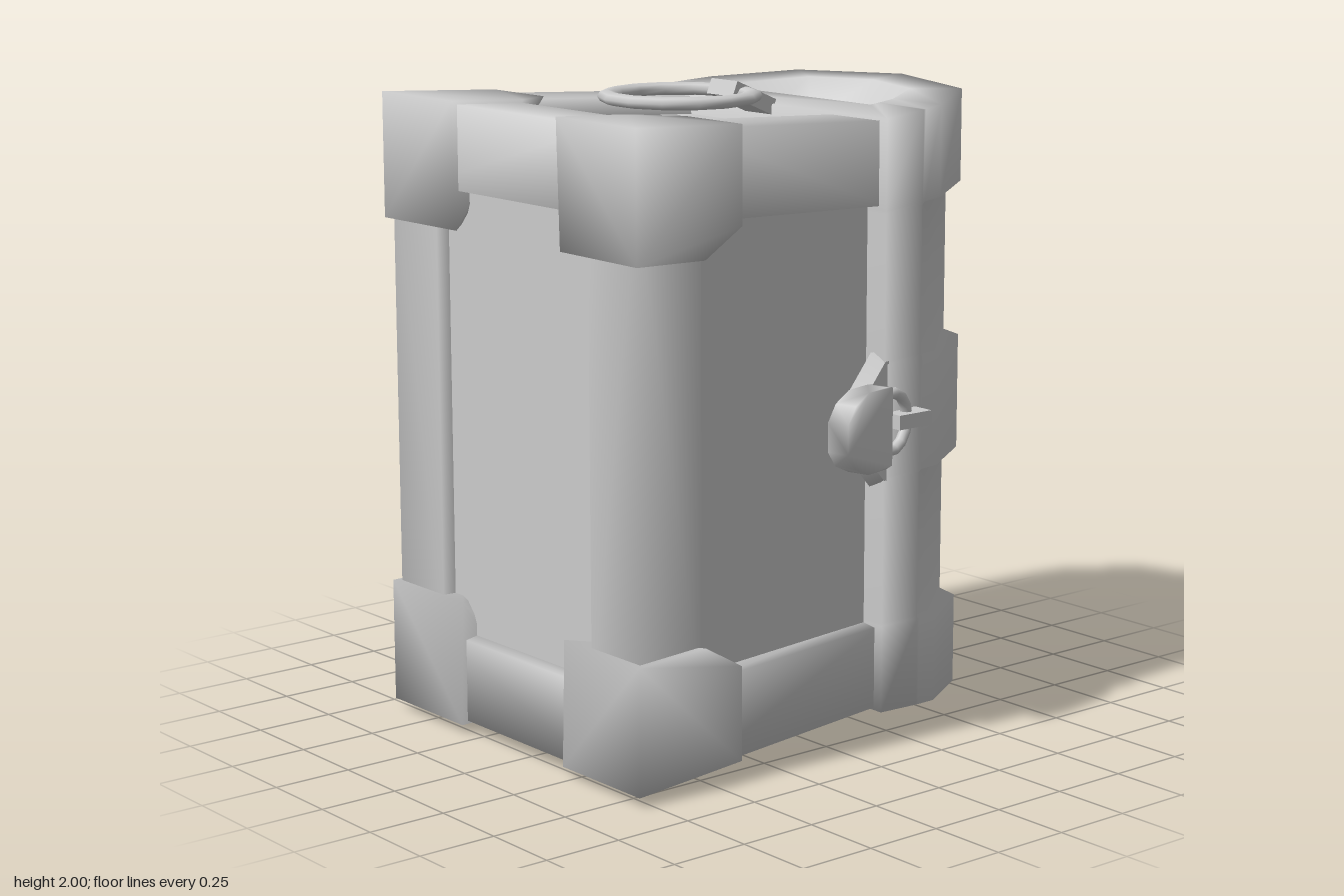
import * as THREE from 'three';
import { mergeVertices } from 'three/addons/utils/BufferGeometryUtils.js';
import { ConvexGeometry } from 'three/addons/geometries/ConvexGeometry.js';

const material = new THREE.MeshStandardMaterial({ color: 0xcccccc });

function add(parent, name, geometry, x = 0, y = 0, z = 0) {
  const mesh = new THREE.Mesh(geometry, material);
  mesh.name = name;
  mesh.position.set(x, y, z);
  parent.add(mesh);
  return mesh;
}

// The chest body narrows from its base (z = 0.79) to the lid (z = -0.19)
function taper(geometry) {
  const p = geometry.attributes.position;
  for (let i = 0; i < p.count; i++) {
    const t = (0.79 - p.getZ(i)) / 0.98;
    p.setX(i, p.getX(i) * (1 - 0.095 * t));
    p.setY(i, p.getY(i) * (1 - 0.05 * t));
  }
  geometry.computeVertexNormals();
  return geometry;
}

// Convex block with soft normals
function block(points) {
  const g = new ConvexGeometry(points.map((p) => new THREE.Vector3(...p)));
  g.deleteAttribute('normal');
  const soft = mergeVertices(g, 1e-4);
  soft.computeVertexNormals();
  return soft;
}

// Bar with a constant cross-section; place(a, b, s) returns a point at end s
function bar(section, from, to, place) {
  return taper(block([from, to].flatMap((s) => section.map(([a, b]) => place(a, b, s)))));
}

// Closed loops of [x, z] joined along y; v is a fraction of the flared half length
function loft(sections) {
  const n = sections[0].loop.length;
  const position = [];
  const index = [];
  sections.forEach(({ v, loop }, s) => {
    loop.forEach(([x, z], i) => {
      position.push(x, v * (0.92 + 0.05 * (-z - 0.19) / 0.61), z);
      if (s === sections.length - 1) return;
      const j = (i + 1) % n;
      const a = s * n + i, b = s * n + j;
      index.push(a, a + n, b, b, a + n, b + n);
    });
  });
  const g = new THREE.BufferGeometry();
  g.setAttribute('position', new THREE.Float32BufferAttribute(position, 3));
  g.setIndex(index);
  g.computeVertexNormals();
  return g;
}

// Half arch mirrored into a full arch
const arch = (half) => [...half, ...half.slice(0, -1).reverse().map(([x, z]) => [-x, z])];

function makeBody() {
  const body = new THREE.Group();
  body.name = 'body';
  add(body, 'recessedPanels', taper(new THREE.BoxGeometry(1.12, 1.8, 1.03).translate(0, 0, 0.215)));

  const upright = [[0.615, 0.96], [0.375, 0.96], [0.365, 0.88], [0.54, 0.68], [0.615, 0.69]];
  const longEdge = [[0.61, 0.77], [0.38, 0.77], [0.37, 0.71], [0.54, 0.52], [0.61, 0.53]];
  const endEdge = [[0.96, 0.77], [0.7, 0.77], [0.69, 0.71], [0.88, 0.52], [0.96, 0.53]];
  const corner = [
    [0.63, 0.97, 0.79], [0.26, 0.97, 0.79], [0.63, 0.58, 0.79], [0.26, 0.58, 0.78],
    [0.63, 0.97, 0.385], [0.36, 0.97, 0.385], [0.26, 0.97, 0.53],
    [0.63, 0.67, 0.385], [0.63, 0.58, 0.53],
  ];
  for (const sx of [-1, 1]) {
    add(body, 'longEdgeBar', bar(longEdge, -0.75, 0.75, (a, b, s) => [sx * a, s, b]));
    for (const sy of [-1, 1]) {
      add(body, 'uprightBar', bar(upright, -0.22, 0.6, (a, b, s) => [sx * a, sy * b, s]));
      add(body, 'cornerGuard', taper(block(corner.map(([x, y, z]) => [sx * x, sy * y, z]))));
    }
  }
  for (const sy of [-1, 1]) {
    add(body, 'endEdgeBar', bar(endEdge, -0.45, 0.45, (a, b, s) => [s, sy * a, b]));
  }
  return body;
}

// Arched lid with three raised bands, sunken strips and hollowed ends
function makeLid() {
  const full = arch([[0.59, -0.19], [0.568, -0.36], [0.566, -0.37], [0.55, -0.45], [0.39, -0.69], [0, -0.8]]);
  const sunk = arch([[0.59, -0.19], [0.566, -0.36], [0.53, -0.37], [0.51, -0.44], [0.36, -0.655], [0, -0.765]]);
  const opening = arch([[0.35, -0.34], [0.35, -0.36], [0.348, -0.38], [0.335, -0.45], [0.24, -0.61], [0, -0.67]]);
  const floor = opening.map(([x, z]) => [x * 0.93, -0.47 + (z + 0.47) * 0.93]);
  const middle = opening.map(() => [0, -0.47]);
  const half = [
    { v: 0.84, loop: middle }, { v: 0.86, loop: floor }, { v: 1, loop: opening },
    { v: 1, loop: full }, { v: 0.7, loop: full }, { v: 0.69, loop: sunk },
    { v: 0.45, loop: sunk }, { v: 0.2, loop: sunk }, { v: 0.19, loop: full },
  ];
  return loft([...half, ...half.slice().reverse().map(({ v, loop }) => ({ v: -v, loop }))]);
}

// Ring handle hanging from a slanted tab on one end
function makeHandle(sy) {
  const handle = new THREE.Group();
  handle.name = 'endHandle';
  const ring = new THREE.TorusGeometry(0.222, 0.031, 8, 14).scale(1, 1, 0.65).rotateX(Math.PI / 2);
  add(handle, 'handleRing', ring, 0, sy * 0.962, 0.125);
  const tab = add(handle, 'handleTab', new THREE.BoxGeometry(0.125, 0.05, 0.17), 0, sy * 0.944, -0.12);
  tab.rotation.x = -sy * 0.4;
  return handle;
}

function makeLock() {
  const lock = new THREE.Group();
  lock.name = 'lock';
  // Octagonal plate lying on the sloping side of the lid
  const plate = new THREE.CylinderGeometry(0.2, 0.225, 0.05, 8)
    .rotateY(Math.PI / 8).rotateZ(-Math.PI / 2);
  add(lock, 'lockPlate', plate, 0.553, 0, -0.265).rotation.y = 0.16;
  add(lock, 'staple', new THREE.BoxGeometry(0.1, 0.045, 0.13), 0.595, 0.003, -0.27);

  const padlock = new THREE.Group();
  padlock.name = 'padlock';
  padlock.position.set(0.6375, 0.005, -0.14);
  padlock.rotation.y = 0.25;
  const outline = [[0, 0.12], [0.03, 0.125], [0.13, 0.125], [0.2, 0.095], [0.24, 0.045]];
  const points = outline.flatMap(([z, y]) => [-1, 1].flatMap((s) => [
    [-0.036, s * y, z], [0.036, s * y, z],
  ]));
  add(padlock, 'padlockBody', block(points));
  add(padlock, 'shackle', new THREE.TorusGeometry(0.09, 0.018, 8, 14).rotateY(Math.PI / 2), 0, 0, -0.045);
  lock.add(padlock);
  return lock;
}

export function createModel() {
  const model = new THREE.Group();
  model.name = 'chest';
  const chest = new THREE.Group();
  chest.name = 'chestOnItsEnd';
  chest.position.set(-0.05, 1, 0);
  chest.add(makeBody());
  add(chest, 'lid', makeLid());
  for (const sy of [-1, 1]) chest.add(makeHandle(sy));
  chest.add(makeLock());
  model.add(chest);
  return model;
}
